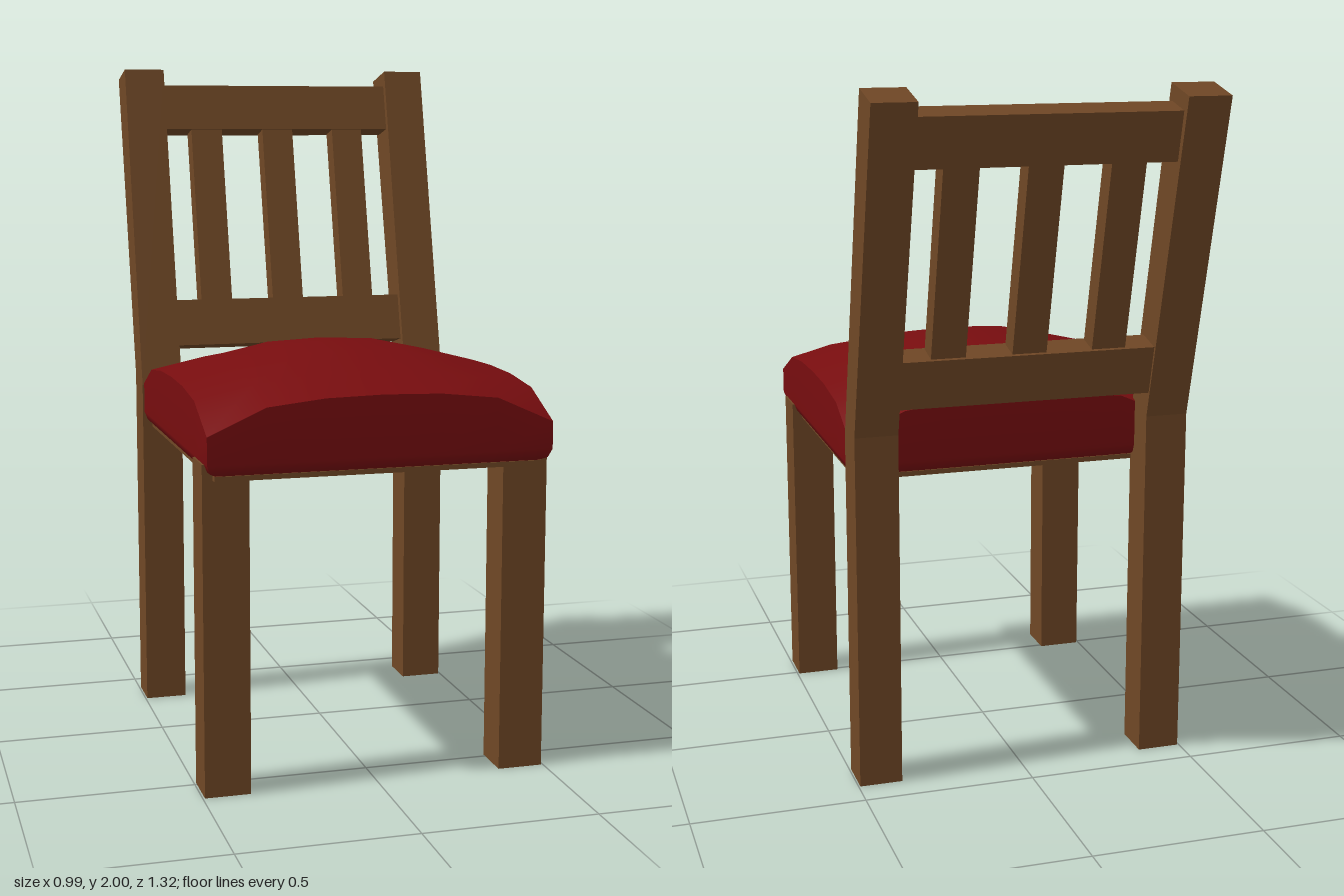
import * as THREE from 'three';

const wood = new THREE.MeshStandardMaterial({ color: 0x6f4725 });
wood.name = 'brown wood';
const fabric = new THREE.MeshStandardMaterial({ color: 0x780d0f });
fabric.name = 'red upholstery';

// Box given by its extents on each axis
function bar(name, [x0, x1], [y0, y1], [z0, z1]) {
  const mesh = new THREE.Mesh(new THREE.BoxGeometry(x1 - x0, y1 - y0, z1 - z0), wood);
  mesh.position.set((x0 + x1) / 2, (y0 + y1) / 2, (z0 + z1) / 2);
  mesh.name = name;
  return mesh;
}

// Smooth surface from rows of points; each row has the same length
function sheet(rows) {
  const n = rows[0].length, index = [];
  for (let i = 0; i < rows.length - 1; i++) {
    for (let j = 0; j < n - 1; j++) {
      const a = i * n + j, b = a + n;
      index.push(a, b, a + 1, b, b + 1, a + 1);
    }
  }
  const geo = new THREE.BufferGeometry();
  geo.setAttribute('position', new THREE.Float32BufferAttribute(rows.flat(2), 3));
  geo.setIndex(index);
  geo.computeVertexNormals();
  return geo;
}

// Domed cushion: a quarter height table mirrored both ways
const HALF = 0.49, CZ = 0.17, N = 3;
const HEIGHTS = [
  [1.197, 1.188, 1.15, 1.107],
  [1.188, 1.18, 1.145, 1.103],
  [1.15, 1.145, 1.12, 1.085],
  [1.107, 1.103, 1.085, 1.012],
];
const RIM = [[HALF, 0.935], [0.48, 0.91], [0.445, 0.892]];

function createCushion() {
  const group = new THREE.Group();
  group.name = 'cushion';
  const steps = [-3, -2, -1, 0, 1, 2, 3];
  const add = (name, geo) => {
    const mesh = new THREE.Mesh(geo, fabric);
    mesh.name = name;
    group.add(mesh);
    return mesh;
  };
  add('cushionTop', sheet(steps.map(i => steps.map(j =>
    [j / N * HALF, HEIGHTS[Math.abs(i)][Math.abs(j)], i / N * HALF]))));
  // One side wall with a rounded lower edge, turned to all four sides
  const wall = sheet([
    steps.map(j => [j / N * HALF, HEIGHTS[N][Math.abs(j)], HALF]),
    ...RIM.map(([r, y]) => steps.map(j => [j / N * r, y, r])),
  ]);
  for (let k = 0; k < 4; k++) add('cushionSide', wall).rotation.y = k * Math.PI / 2;
  group.position.z = CZ;
  return group;
}

// Rear leg and back post in one bent piece, extruded across x
function createPost(side) {
  const profile = [[-0.29, 0], [-0.41, 0], [-0.41, 1.04], [-0.658, 1.97], [-0.535, 2], [-0.29, 1.02]];
  const shape = new THREE.Shape(profile.map(([z, y]) => new THREE.Vector2(-z, y)));
  const geo = new THREE.ExtrudeGeometry(shape, { depth: 0.125, bevelEnabled: false });
  geo.rotateY(Math.PI / 2);
  geo.translate(side > 0 ? 0.37 : -0.495, 0, 0);
  const mesh = new THREE.Mesh(geo, wood);
  mesh.name = side > 0 ? 'leftBackPost' : 'rightBackPost';
  return mesh;
}

export function createModel() {
  const chair = new THREE.Group();
  chair.name = 'chair';

  // Legs and posts
  for (const side of [-1, 1]) {
    const x = side > 0 ? [0.364, 0.494] : [-0.494, -0.364];
    chair.add(bar(side > 0 ? 'leftFrontLeg' : 'rightFrontLeg', x, [0, 0.93], [0.488, 0.61]));
    chair.add(createPost(side));
  }

  // Seat
  chair.add(createCushion());
  chair.add(bar('seatBoard', [-0.465, 0.465], [0.886, 0.9], [CZ - 0.465, CZ + 0.465]));

  // Leaning backrest: two rails and three slats
  const back = new THREE.Group();
  back.name = 'backrest';
  back.position.set(0, 1.02, -0.29);
  back.rotation.x = -Math.atan(0.25);
  back.add(bar('topRail', [-0.38, 0.38], [0.822, 0.965], [-0.106, -0.021]));
  back.add(bar('lowerRail', [-0.38, 0.38], [0.123, 0.268], [-0.106, -0.021]));
  for (const x of [-0.235, 0, 0.235]) {
    back.add(bar('slat', [x - 0.05, x + 0.05], [0.26, 0.83], [-0.095, -0.028]));
  }
  chair.add(back);
  return chair;
}
